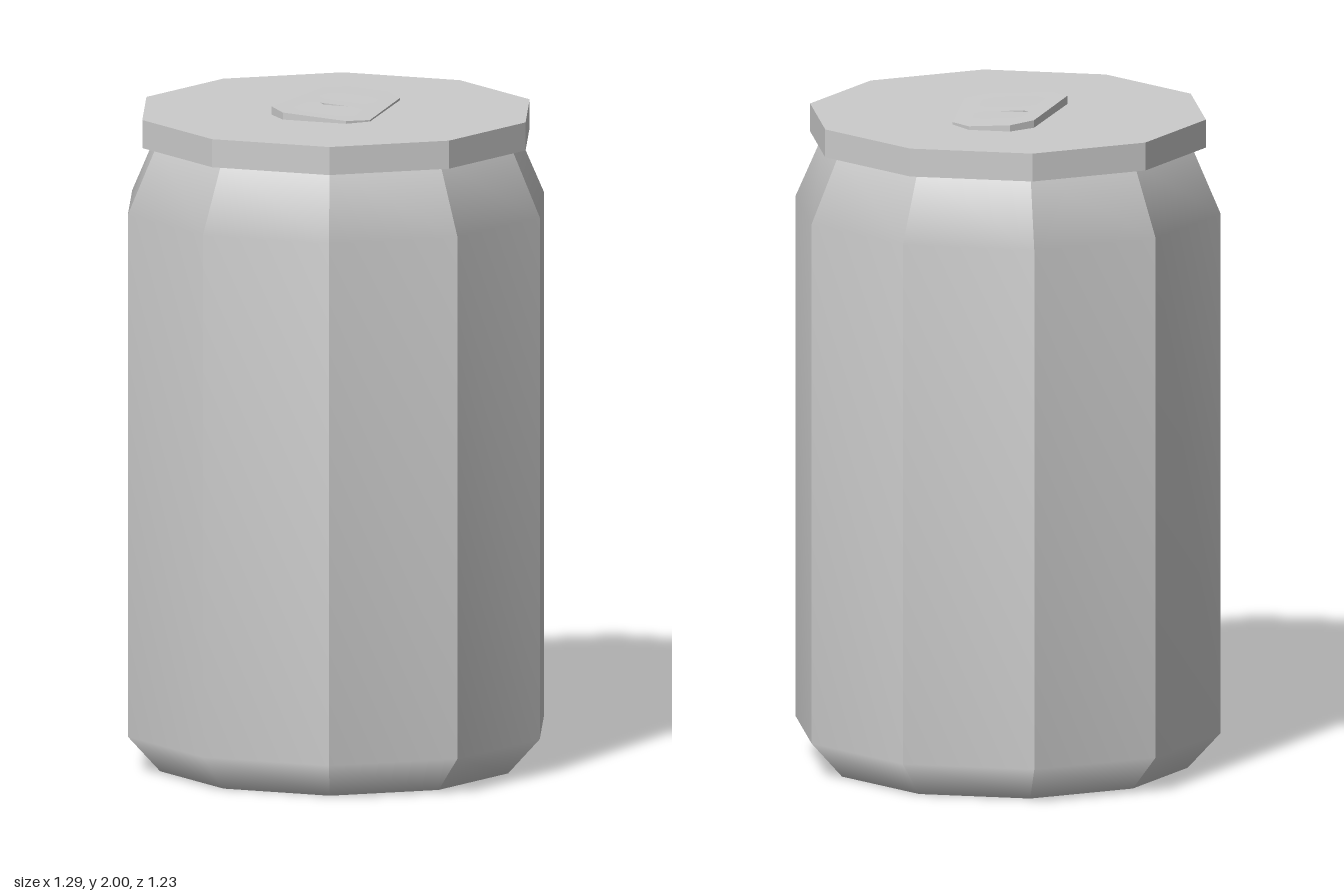
import * as THREE from 'three';
import { mergeGeometries } from 'three/addons/utils/BufferGeometryUtils.js';

const SIDES = 10;
const STEP = (Math.PI * 2) / SIDES;
const TURN = Math.PI / SIDES; // puts a corner on the x axis

export function createModel() {
  const can = new THREE.Group();
  can.name = 'drinkCan';
  const grey = new THREE.MeshStandardMaterial({ color: 0xcccccc });
  const flatGrey = new THREE.MeshStandardMaterial({ color: 0xcccccc, flatShading: true });

  const add = (name, geometry, material) => {
    const mesh = new THREE.Mesh(geometry, material);
    mesh.name = name;
    can.add(mesh);
    return mesh;
  };

  // Body wall: each side is smooth along its height, with sharp edges between sides
  const profile = [[0.545, 0], [0.645, 0.11], [0.645, 1.69], [0.553, 1.9]]
    .map(([r, y]) => new THREE.Vector2(r, y));
  const panels = [];
  for (let i = 0; i < SIDES; i++) {
    const panel = new THREE.LatheGeometry(profile, 1, TURN + i * STEP, STEP);
    panel.computeVertexNormals();
    panels.push(panel);
  }
  add('body', mergeGeometries(panels), grey);

  // Flat base
  add('base', new THREE.CircleGeometry(0.545, SIDES).rotateX(Math.PI / 2), flatGrey);

  // Lid overhanging the tapered neck
  const lid = new THREE.CylinderGeometry(0.6, 0.6, 0.085, SIDES).rotateY(TURN);
  add('lid', lid.translate(0, 1.9325, 0), flatGrey);

  // Pull tab: outline and two finger holes as [x, z], tapering down towards +x
  const toPoints = (list) => list.map(([x, z]) => new THREE.Vector2(x, -z));
  const outline = [[-0.06, -0.277], [0.065, -0.277], [0.127, -0.21], [0.16, 0.145],
    [0.105, 0.203], [-0.095, 0.203], [-0.153, 0.14], [-0.12, -0.21]];
  const backHole = [[-0.045, -0.166], [0.045, -0.166], [0.078, -0.15], [0.085, -0.093],
    [0.06, -0.062], [-0.06, -0.062], [-0.083, -0.09], [-0.073, -0.15]];
  const frontHole = [[-0.045, 0], [0.05, 0], [0.09, 0.02], [0.1, 0.107],
    [0.062, 0.146], [-0.055, 0.146], [-0.093, 0.11], [-0.083, 0.02]];
  const shape = new THREE.Shape(toPoints(outline));
  for (const hole of [backHole, frontHole]) shape.holes.push(new THREE.Path(toPoints(hole)));
  const tab = new THREE.ExtrudeGeometry(shape, { depth: 1, bevelEnabled: false });
  tab.rotateX(-Math.PI / 2);
  const pos = tab.attributes.position;
  for (let i = 0; i < pos.count; i++) {
    const top = 2 - 0.065 * (pos.getX(i) + 0.153);
    pos.setY(i, pos.getY(i) > 0.5 ? top : 1.97);
  }
  add('pullTab', tab, flatGrey);

  return can;
}
